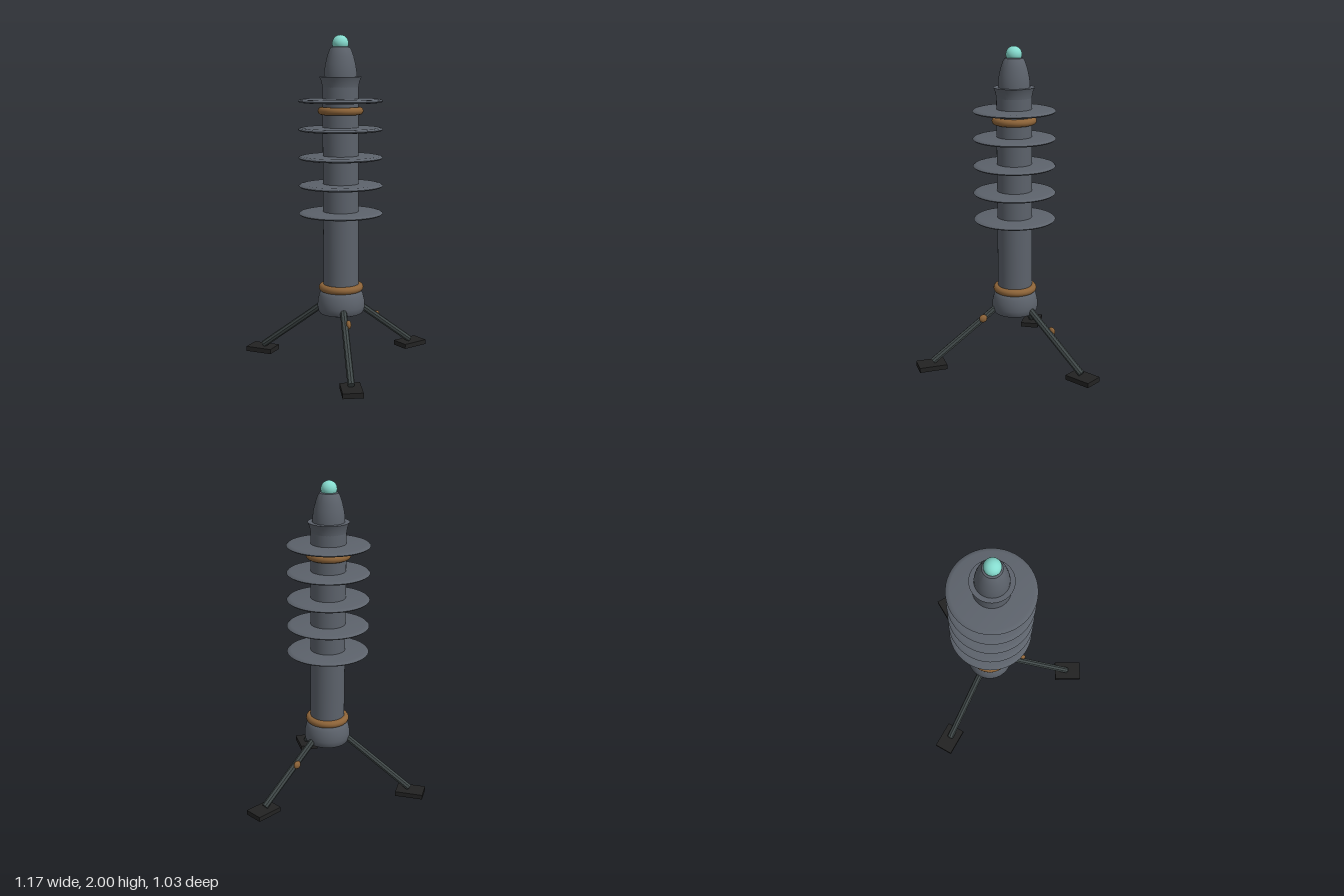
import * as THREE from 'three';
import { toCreasedNormals } from 'three/addons/utils/BufferGeometryUtils.js';

const paint = (name, color) => {
  const m = new THREE.MeshStandardMaterial({ color });
  m.name = name;
  return m;
};

export function createModel() {
  const body = paint('slate grey', 0x5c626b);
  const legGrey = paint('dark leg grey', 0x404848);
  const rubber = paint('black rubber', 0x222222);
  const bronze = paint('bronze', 0x8c6338);
  const glow = paint('pale turquoise', 0x86dccf);

  const model = new THREE.Group();
  model.name = 'tripodPylon';
  const pylon = new THREE.Group();
  pylon.name = 'pylon';
  pylon.position.set(-0.008, 0, 0.13);
  model.add(pylon);

  const add = (parent, name, geometry, material, x = 0, y = 0, z = 0) => {
    const mesh = new THREE.Mesh(geometry, material);
    mesh.name = name;
    mesh.position.set(x, y, z);
    parent.add(mesh);
    return mesh;
  };
  // Turned part from [radius, height] points listed bottom to top
  const turned = (points) => toCreasedNormals(
    new THREE.LatheGeometry(points.map(([r, y]) => new THREE.Vector2(r, y)), 48), 0.6);

  // Rounded base, column, flared collar and nose cone
  add(pylon, 'base', turned([[0, 0.312], [0.115, 0.312], [0.132, 0.318], [0.141, 0.333], [0.146, 0.36],
    [0.143, 0.395], [0.135, 0.43], [0.122, 0.455], [0.105, 0.465]]), body);
  add(pylon, 'column', new THREE.CylinderGeometry(0.108, 0.108, 1.29, 40), body, 0, 1.085);
  add(pylon, 'collar', turned([[0.106, 1.68], [0.109, 1.70], [0.115, 1.73], [0.126, 1.755], [0, 1.755]]), body);
  add(pylon, 'noseCone', turned([[0.098, 1.75], [0.097, 1.785], [0.09, 1.83], [0.079, 1.875],
    [0.066, 1.912], [0.056, 1.928], [0.04, 1.933], [0, 1.933]]), body);
  add(pylon, 'tipLight', new THREE.SphereGeometry(0.049, 32, 20), glow, 0, 1.951);

  // Thin insulator discs with rounded rims
  const disc = turned([[0, -0.013], [0.23, -0.011], [0.246, -0.008], [0.255, 0],
    [0.246, 0.008], [0.23, 0.011], [0, 0.013]]);
  for (let i = 0; i < 5; i++) add(pylon, 'insulatorDisc', disc, body, 0, 0.934 + i * 0.1695);

  // Bronze bands round the column
  for (const y of [0.475, 1.553]) {
    const ring = add(pylon, 'bronzeRing', new THREE.TorusGeometry(0.114, 0.023, 14, 48), bronze, 0, y);
    ring.rotation.x = Math.PI / 2;
  }

  // Tripod: each leg is built pointing along +z and turned into place
  const inner = new THREE.Vector3(0, 0.38, 0.09);
  const outer = new THREE.Vector3(0, 0.042, 0.548);
  const span = outer.clone().sub(inner);
  const knobReach = [0.29, 0.22, null];
  for (let i = 0; i < 3; i++) {
    const leg = new THREE.Group();
    leg.name = 'leg';
    leg.rotation.y = Math.PI + 0.024 - i * Math.PI * 2 / 3;
    pylon.add(leg);

    const strut = add(leg, 'strut', toCreasedNormals(
      new THREE.CylinderGeometry(0.021, 0.021, span.length(), 8), 0.5), legGrey);
    strut.position.copy(inner).addScaledVector(span, 0.5);
    strut.quaternion.setFromUnitVectors(new THREE.Vector3(0, 1, 0), span.clone().normalize());

    add(leg, 'footPad', new THREE.BoxGeometry(0.118, 0.03, 0.175), rubber, 0, 0.015, 0.557);

    // Flattened side knob on two of the legs
    if (knobReach[i]) {
      const t = (knobReach[i] - inner.z) / span.z;
      const knob = add(leg, 'sideKnob', new THREE.SphereGeometry(0.026, 20, 14), bronze,
        0.022, inner.y + span.y * t + 0.012, knobReach[i]);
      knob.scale.x = 0.6;
    }
  }
  return model;
}
